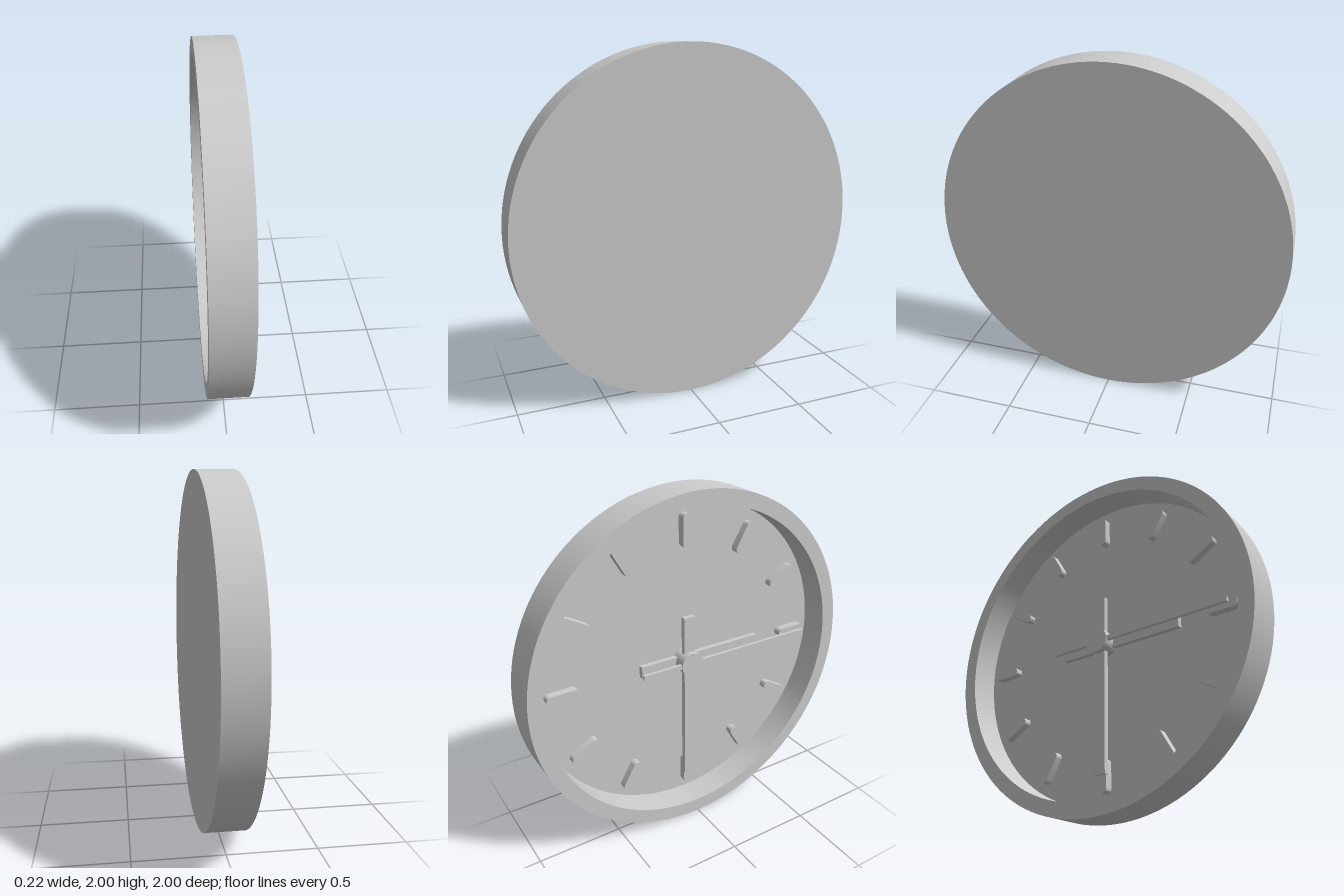
import * as THREE from 'three';
import { toCreasedNormals } from 'three/addons/utils/BufferGeometryUtils.js';

export function createModel() {
  const grey = new THREE.MeshStandardMaterial({ color: 0xcccccc });
  grey.name = 'plain grey';
  const model = new THREE.Group();
  model.name = 'wallClock';

  // The clock is built facing local +z, then turned to look along -x
  const clock = new THREE.Group();
  clock.name = 'clock';
  clock.position.y = 1;
  clock.rotation.y = -Math.PI / 2;
  model.add(clock);

  const add = (name, geometry) => {
    const mesh = new THREE.Mesh(geometry, grey);
    mesh.name = name;
    clock.add(mesh);
    return mesh;
  };

  // Case: flat back, raised rim and recessed dial in one profile
  const dial = -0.055;
  const profile = [[0, -0.11], [1, -0.11], [1, 0.11], [0.915, 0.11], [0.915, dial], [0, dial]]
    .map(([r, h]) => new THREE.Vector2(r, h));
  add('case', toCreasedNormals(new THREE.LatheGeometry(profile, 128).rotateX(Math.PI / 2), 0.5));

  // Hour markers: upright bars with rounded ends
  const w = 0.025, inner = 0.67, outer = 0.855;
  const bar = new THREE.Shape();
  bar.absarc(0, outer - w, w, 0, Math.PI, false);
  bar.absarc(0, inner + w, w, Math.PI, Math.PI * 2, false);
  bar.closePath();
  const barGeometry = toCreasedNormals(
    new THREE.ExtrudeGeometry(bar, { depth: 0.045, bevelEnabled: false, curveSegments: 12 }), 0.6);
  for (let i = 0; i < 12; i++) {
    const marker = add('hourMarker' + (i + 1), barGeometry);
    marker.position.z = dial;
    marker.rotation.z = -(i + 1) * Math.PI / 6;
  }

  // Hands: flat bars pointing up, with a short tail past the hub
  const addHand = (name, width, tail, tip, back, front, angle) => {
    const geometry = new THREE.BoxGeometry(width, tip + tail, front - back);
    geometry.translate(0, (tip - tail) / 2, (front + back) / 2);
    add(name, geometry).rotation.z = -angle;
  };
  addHand('hourHand', 0.07, 0.29, 0.5, -0.05, -0.02, Math.PI / 2);
  addHand('minuteHand', 0.07, 0.28, 0.76, -0.015, 0.015, Math.PI);
  addHand('secondHand', 0.027, 0.31, 0.82, 0.022, 0.042, Math.PI / 2);

  // Hub through all three hands
  const top = 0.048;
  add('hub', new THREE.CylinderGeometry(0.07, 0.07, top - dial, 48)
    .rotateX(Math.PI / 2).translate(0, 0, (top + dial) / 2));

  return model;
}
